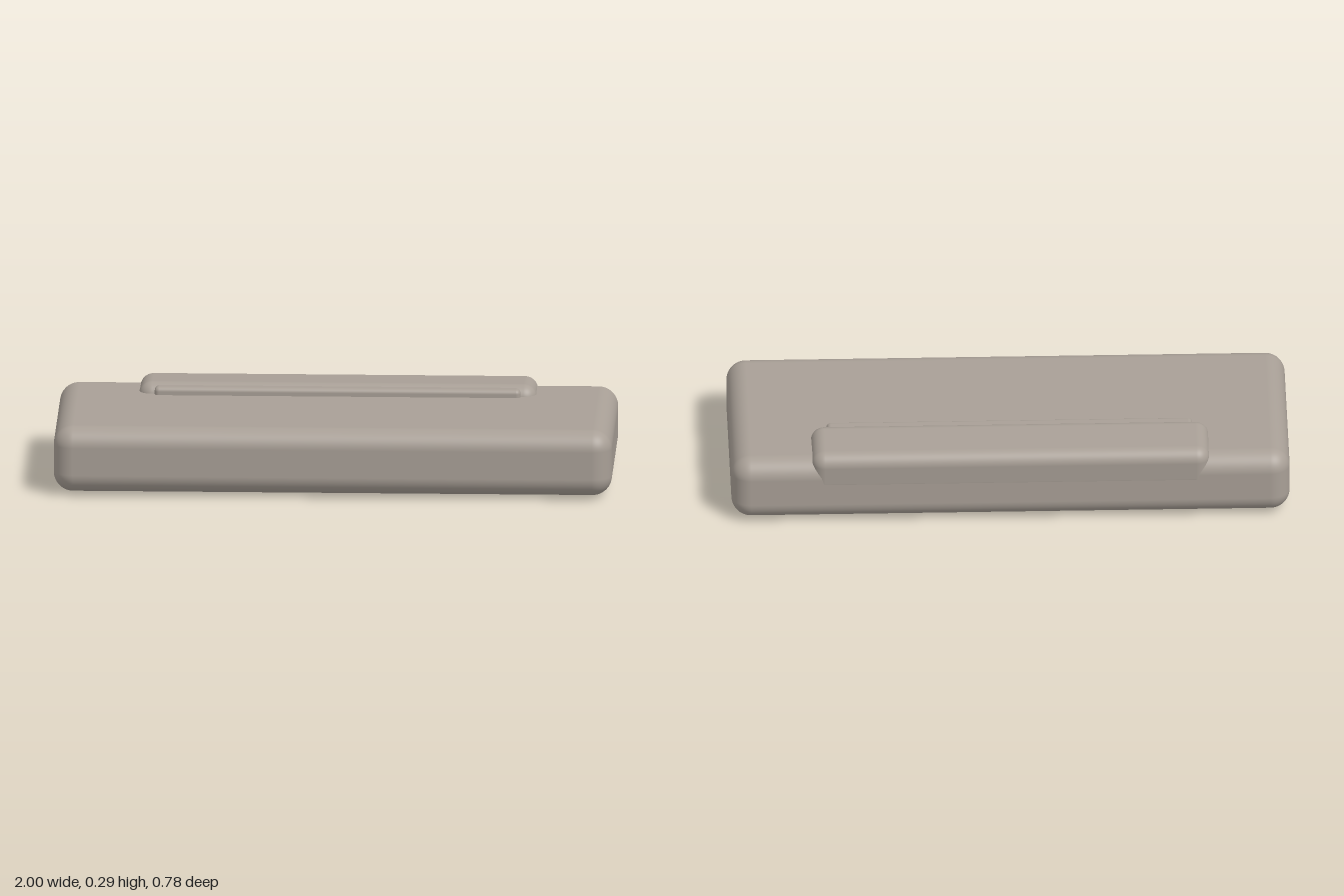
import * as THREE from 'three';
import { RoundedBoxGeometry } from 'three/addons/geometries/RoundedBoxGeometry.js';

export function createModel() {
  const group = new THREE.Group();
  const material = new THREE.MeshStandardMaterial({ color: 0xa89f96 });

  const add = (name, geometry, x, y, z) => {
    const mesh = new THREE.Mesh(geometry, material);
    mesh.name = name;
    mesh.position.set(x, y, z);
    group.add(mesh);
    return mesh;
  };
  const softBox = (w, h, d, r) => new RoundedBoxGeometry(w, h, d, 8, r);

  // Main slab with soft edges
  add('body', softBox(2, 0.24, 0.777, 0.07), 0, 0.13, 0.0025);

  // Raised block along the back edge, leaning slightly backwards
  const ridge = add('backRidge', softBox(1.425, 0.16, 0.234, 0.048), 0, 0.203, -0.271);
  ridge.rotation.x = -0.045;

  // Thin rounded strip in front of the raised block
  add('frontStrip', softBox(1.31, 0.05, 0.06, 0.016), 0, 0.253, -0.167);

  // Four tiny pins under the slab
  const pin = new THREE.CylinderGeometry(0.006, 0.006, 0.012, 16);
  for (const x of [-0.73, 0.73]) {
    for (const z of [0.206, -0.215]) add('footPin', pin, x, 0.006, z);
  }

  return group;
}
